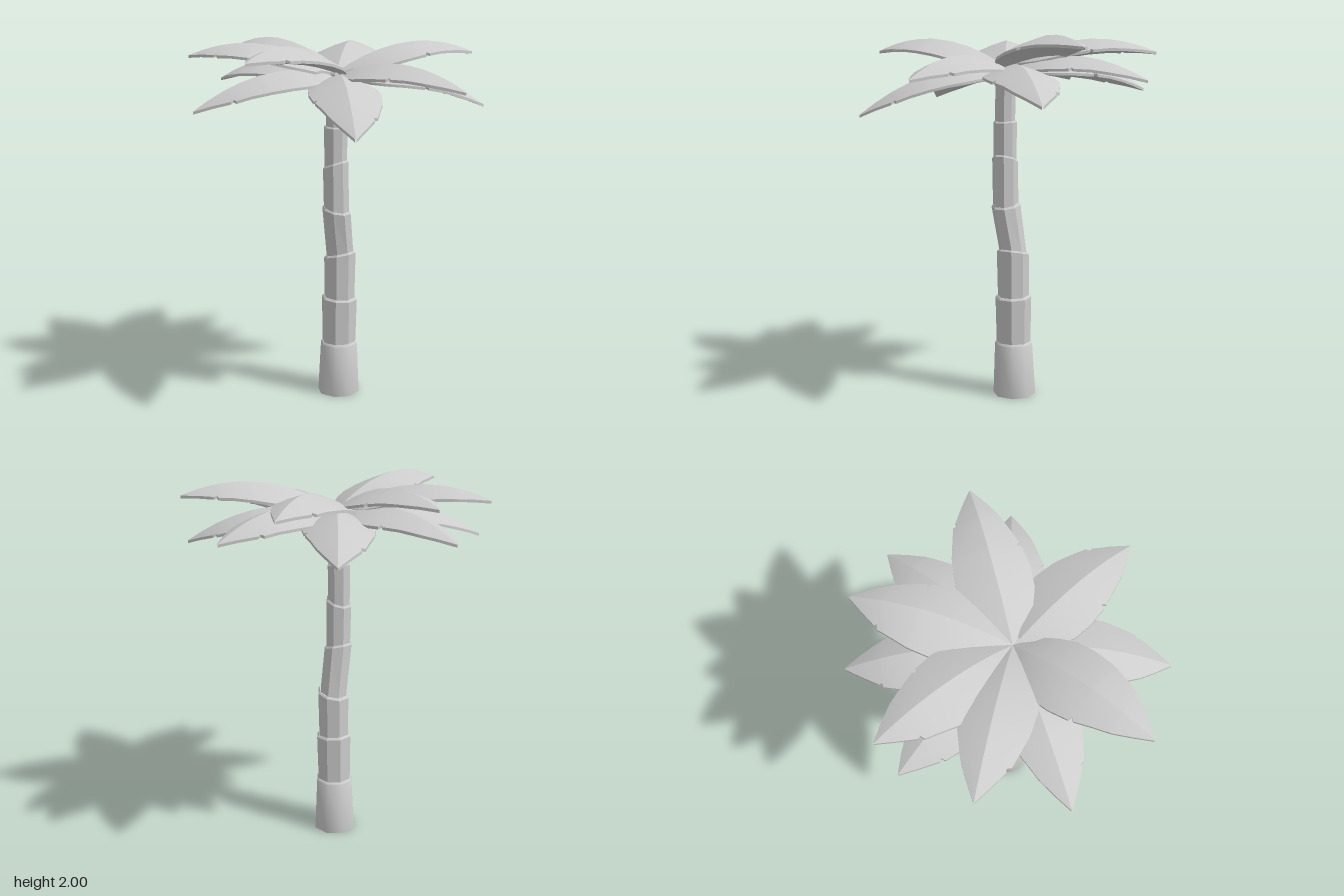
import * as THREE from 'three';
import { toCreasedNormals } from 'three/addons/utils/BufferGeometryUtils.js';

const smooth = new THREE.MeshStandardMaterial({ color: 0xcccccc });
const faceted = new THREE.MeshStandardMaterial({ color: 0xcccccc, flatShading: true });

// Trunk joints: centre x, y, z, radius below the joint, radius above it, tilt along x
const joints = [
  [-0.02, 0.00, -0.045, 0.11, 0.11, 0],
  [-0.015, 0.305, -0.042, 0.097, 0.088, 0],
  [-0.012, 0.57, -0.042, 0.093, 0.08, -0.06],
  [-0.008, 0.82, -0.041, 0.083, 0.07, 0.24],
  [-0.003, 1.085, 0.002, 0.074, 0.065, -0.25],
  [-0.004, 1.335, 0.006, 0.066, 0.058, 0.36],
  [-0.004, 1.54, 0.006, 0.06, 0.051, -0.08],
  [0, 1.83, 0, 0.051, 0.051, 0],
];

// One eight-sided segment with a chamfered rim, sheared between two joints
function trunkSegment(a, b) {
  const corner = 1 / Math.cos(Math.PI / 8);
  const rb = a[4] * corner, rt = b[3] * corner;
  const profile = [[0, 0], [rb, 0], [rt, 0.96], [rt * 0.9, 1], [0, 1]]
    .map(([r, h]) => new THREE.Vector2(r, h));
  const geo = new THREE.LatheGeometry(profile, 8, Math.PI / 8);
  const p = geo.attributes.position;
  for (let i = 0; i < p.count; i++) {
    const h = p.getY(i);
    const mix = (k) => THREE.MathUtils.lerp(a[k], b[k], h);
    p.setXYZ(i, p.getX(i) + mix(0), mix(1) + p.getX(i) * mix(5), p.getZ(i) + mix(2));
  }
  return geo;
}

// Frond outline: position along the length, half-width on each side (steps are the torn notches)
const outline = [
  [0, 0.012, 0.012], [0.09, 0.06, 0.075], [0.12, 0.085, 0.12], [0.2, 0.145, 0.155],
  [0.3, 0.175, 0.185], [0.42, 0.18, 0.19], [0.55, 0.165, 0.18], [0.56, 0.145, 0.178],
  [0.58, 0.158, 0.176], [0.68, 0.13, 0.152], [0.77, 0.105, 0.13], [0.78, 0.102, 0.108],
  [0.8, 0.095, 0.112], [0.9, 0.052, 0.06], [1, 0.003, 0.003],
];

// A thin arched frond, ridged along its middle, reaching from the crown to its tip
function frondGeometry([tx, ty, tz], baseY, arch) {
  const length = Math.hypot(tx, tz), dx = tx / length, dz = tz / length;
  const across = [-1, -0.5, 0, 0.5, 1];
  const loop = [...across.map((u) => [u, 0]), ...across.map((u) => [-u, -0.014])];
  const n = loop.length, pos = [], index = [];
  outline.forEach(([t, plus, minus], i) => {
    const ridge = THREE.MathUtils.lerp(baseY, ty, t) + 4 * arch * t * (1 - t);
    for (const [u, dy] of loop) {
      const s = u * (u > 0 ? plus : minus);
      const drop = Math.abs(s) * (0.27 + 0.11 * Math.abs(u));
      pos.push(dx * t * length - dz * s, ridge - drop + dy, dz * t * length + dx * s);
    }
    if (i === 0) return;
    for (let j = 0; j < n; j++) {
      const k = (j + 1) % n, a = (i - 1) * n, b = i * n;
      index.push(a + j, a + k, b + k, a + j, b + k, b + j);
    }
  });
  const geo = new THREE.BufferGeometry();
  geo.setAttribute('position', new THREE.Float32BufferAttribute(pos, 3));
  geo.setIndex(index);
  return toCreasedNormals(geo, 0.4);
}

// Frond tips
const upperTips = [
  [0.03, 1.92, 0.81], [0.46, 1.925, -0.67], [-0.34, 1.91, -0.73],
  [-0.80, 1.945, -0.13], [-0.71, 1.915, 0.38],
];
const lowerTips = [
  [0.81, 1.77, 0.08], [0.61, 1.65, -0.53], [-0.01, 1.765, -0.81], [-0.58, 1.71, -0.57],
  [-0.81, 1.765, 0], [-0.40, 1.66, 0.70], [0.51, 1.58, 0.60],
];

export function createModel() {
  const model = new THREE.Group();
  model.name = 'palmTree';
  const add = (parent, name, geo, mat) => {
    const mesh = new THREE.Mesh(geo, mat);
    mesh.name = name;
    parent.add(mesh);
  };

  // Trunk: smooth foot, then faceted segments
  const trunk = new THREE.Group();
  trunk.name = 'trunk';
  for (let i = 0; i < joints.length - 1; i++) {
    const geo = trunkSegment(joints[i], joints[i + 1]);
    if (i === 0) add(trunk, 'trunkBase', toCreasedNormals(geo, 0.9), smooth);
    else add(trunk, 'trunkSegment' + i, geo, faceted);
  }

  // Crown: two tiers of fronds
  const crown = new THREE.Group();
  crown.name = 'crown';
  upperTips.forEach((tip, i) => add(crown, 'upperFrond' + (i + 1), frondGeometry(tip, 1.83, 0.105), smooth));
  lowerTips.forEach((tip, i) => add(crown, 'lowerFrond' + (i + 1), frondGeometry(tip, 1.81, 0.1), smooth));

  model.add(trunk, crown);
  return model;
}
